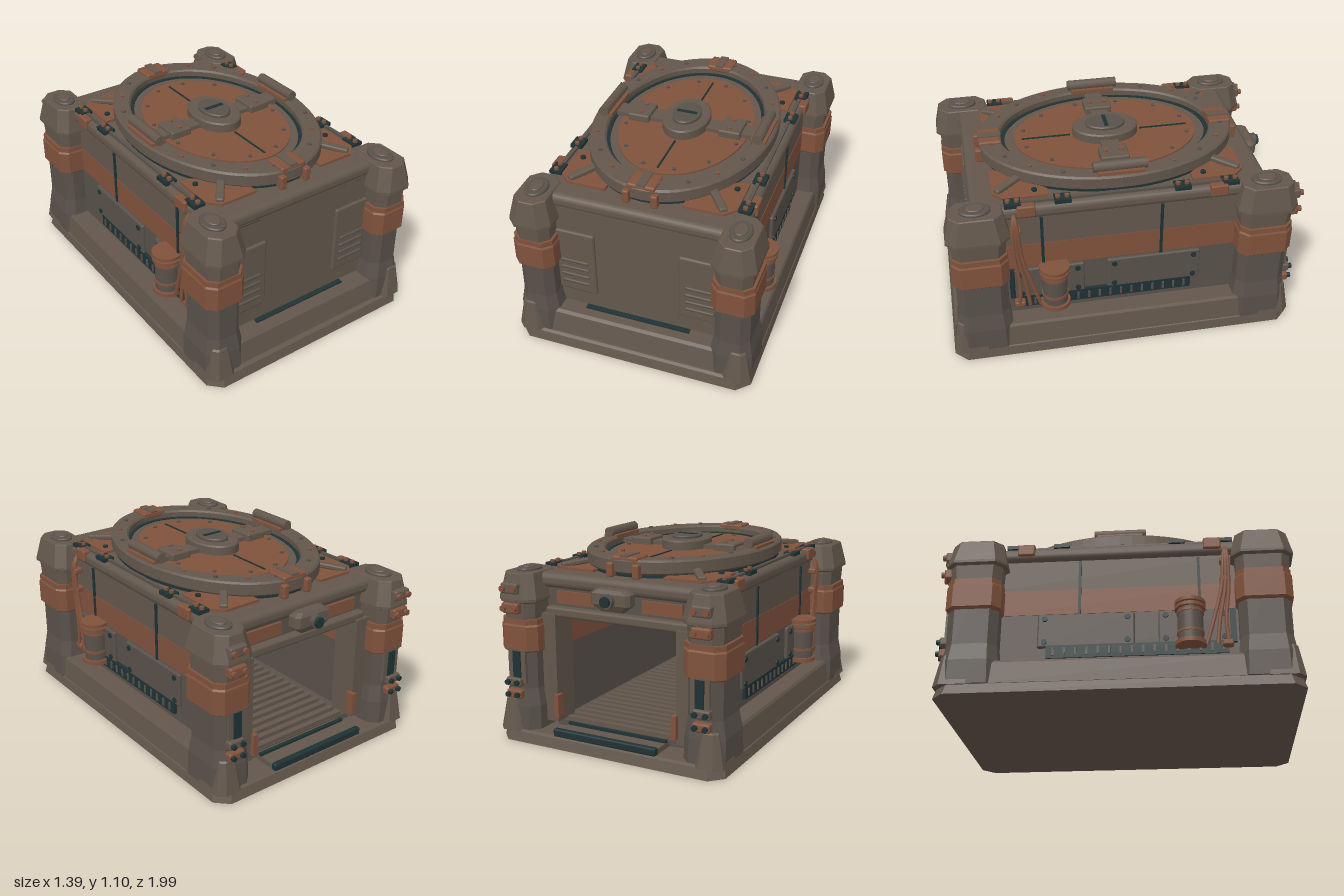
import * as THREE from 'three';
import { RoundedBoxGeometry } from 'three/addons/geometries/RoundedBoxGeometry.js';

const paint = (name, color) => {
  const m = new THREE.MeshStandardMaterial({ color });
  m.name = name;
  return m;
};

export function createModel() {
  const root = new THREE.Group();
  root.name = 'armouredContainer';
  const body = paint('brown steel', 0x63574c);
  const grey = paint('grey steel', 0x59514a);
  const rust = paint('rust orange', 0x80523c);
  const dark = paint('dark teal', 0x1f3234);

  const add = (name, geo, mat, x = 0, y = 0, z = 0, parent = root) => {
    const m = new THREE.Mesh(geo, mat);
    m.name = name;
    m.position.set(x, y, z);
    parent.add(m);
    return m;
  };
  const box = (name, mat, w, h, d, x, y, z, parent) =>
    add(name, new THREE.BoxGeometry(w, h, d), mat, x, y, z, parent);
  const soft = (name, mat, w, h, d, x, y, z, r = 0.015) =>
    add(name, new RoundedBoxGeometry(w, h, d, 2, r), mat, x, y, z);
  const cyl = (name, mat, r0, r1, h, x, y, z, sides = 16, parent) =>
    add(name, new THREE.CylinderGeometry(r0, r1, h, sides), mat, x, y, z, parent);
  // bolt whose axis points along x or z
  const bolt = (name, mat, r, h, x, y, z, axis) => {
    const m = cyl(name, mat, r, r, h, x, y, z, 10);
    if (axis === 'x') m.rotation.z = Math.PI / 2;
    if (axis === 'z') m.rotation.x = Math.PI / 2;
    return m;
  };
  // stack of chamfered rectangles, each [y, halfX, halfZ, chamfer]
  const loft = sections => {
    const rings = sections.map(([y, a, b, c]) => [
      [a, y, c - b], [a, y, b - c], [a - c, y, b], [c - a, y, b],
      [-a, y, b - c], [-a, y, c - b], [c - a, y, -b], [a - c, y, -b]]);
    const p = [], last = rings.length - 1;
    for (let i = 0; i < 8; i++) {
      const j = (i + 1) % 8;
      for (let k = 0; k < last; k++) {
        const a = rings[k][i], b = rings[k][j], c = rings[k + 1][j], d = rings[k + 1][i];
        p.push(...a, ...d, ...b, ...d, ...c, ...b);
      }
      p.push(0, sections[0][0], 0, ...rings[0][i], ...rings[0][j]);
      p.push(0, sections[last][0], 0, ...rings[last][j], ...rings[last][i]);
    }
    const g = new THREE.BufferGeometry();
    g.setAttribute('position', new THREE.Float32BufferAttribute(p, 3));
    g.computeVertexNormals();
    return g;
  };
  // flat plate from an (x, z) outline; its top lies at local y = 0
  const slab = (shape, h, bevel = 0) => {
    const g = new THREE.ExtrudeGeometry(shape, {
      depth: h, curveSegments: 32, bevelEnabled: bevel > 0, bevelSize: bevel, bevelThickness: bevel,
      bevelOffset: -bevel, bevelSegments: 1 });
    return g.rotateX(Math.PI / 2).translate(0, -bevel, 0);
  };
  const oval = (r, hole) => {
    const s = new THREE.Shape().absellipse(0, 0, r * 0.71, r, 0, Math.PI * 2);
    if (hole) s.holes.push(new THREE.Path().absellipse(0, 0, hole * 0.71, hole, 0, Math.PI * 2));
    return s;
  };

  // base, skirts and floor
  add('basePlate', loft([[0, 0.695, 0.99, 0.07], [0.055, 0.685, 0.975, 0.07], [0.065, 0.67, 0.96, 0.07]]), body);
  add('frontSkirt', loft([[0.06, 0.56, 0.085, 0.01], [0.185, 0.56, 0.06, 0.01], [0.2, 0.56, 0.045, 0.01]]), body, 0, 0, 0.865);
  box('frontSill', dark, 0.62, 0.008, 0.03, 0, 0.204, 0.842);
  box('floor', grey, 0.82, 0.04, 1.6, 0, 0.08, 0);
  for (let i = 0; i < 24; i++) box('floorRib', body, 0.7, 0.025, 0.03, 0, 0.11, -0.78 + i * 0.064);
  soft('thresholdBar', dark, 0.64, 0.045, 0.035, 0, 0.09, -0.965, 0.01);
  box('thresholdPlate', body, 0.62, 0.03, 0.15, 0, 0.08, -0.88);
  box('thresholdStrip', dark, 0.62, 0.02, 0.02, 0, 0.1, -0.84);

  // front wall with vented panels
  box('frontWall', body, 0.96, 0.72, 0.06, 0, 0.52, 0.79);
  for (const s of [-1, 1]) {
    soft('frontPanel', body, 0.23, 0.42, 0.03, s * 0.358, 0.51, 0.82, 0.012);
    for (let i = 0; i < 4; i++) soft('ventRib', grey, 0.17, 0.018, 0.02, s * 0.365, 0.37 + i * 0.05, 0.836, 0.008);
  }

  // roof with rounded edges
  soft('roof', body, 1.16, 0.085, 1.65, 0, 0.9, 0, 0.035);
  add('hatchSeat', slab(oval(0.72), 0.03), dark, 0, 0.965, 0);
  box('frontRoofLine', dark, 0.9, 0.008, 0.01, 0, 0.862, 0.815);

  // doorway at the back
  box('doorLintel', grey, 0.92, 0.12, 0.06, 0, 0.81, -0.76);
  soft('doorBeam', body, 0.9, 0.055, 0.09, 0, 0.73, -0.79);
  const housing = loft([[0.78, 0.07, 0.02, 0.01], [0.82, 0.12, 0.045, 0.02], [0.88, 0.12, 0.045, 0.02], [0.9, 0.09, 0.03, 0.02]]);
  add('lampHousing', housing, body, 0, 0, -0.85);
  bolt('lampBarrel', grey, 0.04, 0.05, 0, 0.845, -0.9, 'z');
  bolt('lampLens', dark, 0.03, 0.02, 0, 0.845, -0.93, 'z');

  for (const s of [-1, 1]) {
    // doorway sides
    box('doorJamb', body, 0.09, 0.62, 0.16, s * 0.42, 0.41, -0.77);
    box('jambBlock', rust, 0.03, 0.13, 0.05, s * 0.37, 0.2, -0.85);
    box('lintelPlate', rust, 0.24, 0.07, 0.02, s * 0.27, 0.81, -0.795);

    // side walls, coloured in bands
    const x = s * 0.48;
    box('lowerWall', grey, 0.14, 0.42, 1.56, x, 0.31, 0);
    box('wallBand', rust, 0.146, 0.155, 1.56, x, 0.595, 0);
    box('upperWall', body, 0.14, 0.2, 1.56, x, 0.77, 0);
    add('sideSkirt', loft([[0.06, 0.085, 0.72, 0.01], [0.185, 0.07, 0.72, 0.01], [0.2, 0.06, 0.72, 0.01]]), body, s * 0.595, 0, 0);
    for (const [z, y0] of [[0.45, 0.53], [-0.22, 0.5]])
      box('wallSeam', dark, 0.012, 0.85 - y0, 0.016, s * 0.554, (0.85 + y0) / 2, z);
    for (const [z, d] of [[-0.18, 0.54], [0.42, 0.4]]) {
      soft('sidePanel', grey, 0.03, 0.2, d, s * 0.555, 0.41, z, 0.01);
      for (const dz of [-1, 1]) for (const y of [0.34, 0.48])
        bolt('panelBolt', dark, 0.016, 0.012, s * 0.572, y, z + dz * (d / 2 - 0.04), 'x');
    }
    box('grille', dark, 0.03, 0.075, 1.0, s * 0.555, 0.28, 0.1);
    for (let i = 0; i < 16; i++) box('grilleTooth', grey, 0.02, 0.045, 0.012, s * 0.567, 0.28, -0.36 + i * 0.062);
    box('darkCornerSlot', dark, 0.02, 0.2, 0.03, s * 0.558, 0.41, 0.63);

    // canister with bands and a cap
    const canister = new THREE.Group();
    canister.name = 'canister';
    canister.position.set(s * 0.595, 0, 0.395);
    root.add(canister);
    cyl('canisterBody', grey, 0.07, 0.07, 0.22, 0, 0.4, 0, 20, canister);
    for (const [y, r, h] of [[0.285, 0.085, 0.025], [0.35, 0.075, 0.015], [0.47, 0.075, 0.015], [0.5, 0.085, 0.02], [0.53, 0.085, 0.02]])
      cyl('canisterBand', rust, r, r, h, 0, y, 0, 20, canister);

    // hoses running down beside the canister
    for (let i = 0; i < 3; i++) {
      const path = new THREE.CatmullRomCurve3([[0.57, 0.9, 0.6], [0.6, 0.84, 0.61 - i * 0.01], [0.6, 0.62, 0.61 - i * 0.02],
        [0.6, 0.42, 0.59 - i * 0.035], [0.6, 0.28, 0.6 - i * 0.06]].map(([a, b, c]) => new THREE.Vector3(s * a, b, c)));
      add('hose', new THREE.TubeGeometry(path, 20, 0.011, 8), rust);
    }
    for (const y of [0.8, 0.68, 0.29]) soft('hoseClamp', rust, 0.05, 0.035, 0.06, s * 0.585, y, 0.595, 0.01);

    // roof rail and clips
    box('roofRail', grey, 0.02, 0.02, 1.2, s * 0.535, 0.947, 0);
    for (const t of [-1, 1]) {
      soft('edgeClip', rust, 0.05, 0.07, 0.1, s * 0.57, 0.92, t * 0.53, 0.01);
      for (const z of [0.33, 0.6]) {
        box('railBracket', dark, 0.07, 0.022, 0.09, s * 0.54, 0.95, t * z);
        for (const d of [-0.025, 0.025]) cyl('bracketBolt', rust, 0.014, 0.014, 0.02, s * 0.54, 0.965, t * z + d, 8);
      }

      // corner plate with a diagonal bar
      const pts = [[0.22, 0.7], [0.44, 0.7], [0.5, 0.64], [0.5, 0.4], [0.44, 0.4], [0.22, 0.62]];
      add('cornerPlate', slab(new THREE.Shape(pts.map(([a, b]) => new THREE.Vector2(s * a, t * b))), 0.018), rust, 0, 0.957, 0);
      const bar = soft('diagonalBar', body, 0.045, 0.03, 0.2, s * 0.38, 0.972, t * 0.6, 0.01);
      bar.rotation.y = s * t * 0.65;
      bar.rotation.order = 'YXZ';
      bar.rotation.x = t * 0.1;
      cyl('plateBolt', dark, 0.016, 0.016, 0.012, s * 0.45, 0.962, t * 0.47, 10);

      // corner pillar
      const px = s * 0.57, pz = t * 0.8;
      add('pillarShaft', loft([[0.06, 0.12, 0.16, 0.05], [0.2, 0.118, 0.155, 0.05], [0.3, 0.1, 0.142, 0.045], [0.8, 0.1, 0.142, 0.045]]), grey, px, 0, pz);
      add('pillarBand', loft([[0.51, 0.11, 0.145, 0.045], [0.52, 0.12, 0.155, 0.045], [0.655, 0.12, 0.155, 0.045], [0.665, 0.115, 0.15, 0.045], [0.695, 0.115, 0.15, 0.045]]), rust, px, 0, pz);
      add('pillarCap', loft([[0.695, 0.1, 0.145, 0.045], [0.785, 0.105, 0.15, 0.045], [0.795, 0.123, 0.172, 0.055],
        [0.81, 0.123, 0.172, 0.055], [0.945, 0.093, 0.143, 0.05], [0.95, 0.088, 0.138, 0.05]]), body, px, 0, pz);
      add('pillarFoot', loft([[0.055, 0.085, 0.115, 0.04], [0.235, 0.052, 0.085, 0.025], [0.245, 0.045, 0.078, 0.025]]), body, s * 0.61, 0, t * 0.872);
      add('pillarCollar', slab(oval(0.085), 0.02, 0.006), grey, px, 0.965, pz);
      add('pillarStud', slab(oval(0.05), 0.02, 0.004), body, px, 0.973, pz);
    }

    // fittings on the back pillars
    for (const y of [0.87, 0.76]) {
      soft('backClamp', y > 0.8 ? body : rust, 0.11, 0.06, 0.06, s * 0.58, y, -0.955, 0.012);
      for (const d of [-0.035, 0.035]) bolt('clampBolt', rust, 0.017, 0.035, s * 0.58 + d, y, -0.985, 'z');
    }
    box('backSlotFrame', body, 0.11, 0.19, 0.02, s * 0.565, 0.43, -0.945);
    box('backSlot', dark, 0.05, 0.15, 0.012, s * 0.565, 0.44, -0.956);
    for (const y of [0.34, 0.27]) {
      soft('backBracket', y > 0.3 ? body : rust, 0.1, 0.05, 0.05, s * 0.58, y, -0.955, 0.012);
      for (const d of [-0.03, 0.03]) bolt('bracketStud', dark, 0.015, 0.025, s * 0.58 + d, y, -0.985, 'z');
    }
  }

  // oval hatch: rim, recessed ledge, inner plate and hub
  add('hatchRim', slab(oval(0.74, 0.61), 0.06, 0.01), body, 0, 1.04, 0);
  add('hatchGasket', slab(oval(0.612, 0.585), 0.03), dark, 0, 1.0, 0);
  add('hatchLedge', slab(oval(0.588), 0.03), body, 0, 0.995, 0);
  add('hatchPlate', slab(oval(0.53), 0.02), rust, 0, 1.004, 0);
  for (let i = 0; i < 20; i++) {
    const a = (i + 0.5) / 20 * Math.PI * 2;
    cyl('rimBolt', i % 2 ? grey : rust, 0.013, 0.013, 0.014, Math.cos(a) * 0.48, 1.043, Math.sin(a) * 0.675, 8);
  }
  for (let i = 0; i < 12; i++) {
    const a = (i + 0.5) / 12 * Math.PI * 2;
    cyl('plateStud', grey, 0.012, 0.012, 0.012, Math.cos(a) * 0.345, 1.007, Math.sin(a) * 0.485, 8);
  }
  box('hatchCrossbar', body, 0.84, 0.03, 0.1, 0, 1.012, 0);
  add('hubBase', slab(oval(0.19), 0.06, 0.008), body, 0, 1.06, 0);
  add('hubCap', slab(oval(0.115), 0.03, 0.006), grey, 0, 1.078, 0);
  box('hubSlot', dark, 0.12, 0.006, 0.022, 0, 1.079, 0);
  for (const s of [-1, 1]) {
    box('plateSeam', dark, 0.01, 0.006, 0.28, 0, 1.006, s * 0.345);
    soft('crossbarPlate', body, 0.13, 0.05, 0.16, s * 0.275, 1.022, 0, 0.01);
    for (const z of [-0.045, 0.045]) cyl('crossbarBolt', rust, 0.014, 0.014, 0.014, s * 0.27, 1.05, z, 8);

    // side handles on the rim
    box('handlePad', rust, 0.09, 0.02, 0.26, s * 0.46, 1.045, 0);
    const grip = cyl('handle', body, 0.03, 0.03, 0.3, s * 0.46, 1.073, 0, 10);
    grip.rotation.x = Math.PI / 2;

    // end clamps holding the rim to the roof
    soft('rimClamp', rust, 0.16, 0.04, 0.13, 0, 1.035, s * 0.67, 0.012);
    box('clampBridge', body, 0.05, 0.012, 0.13, 0, 1.055, s * 0.67);
    for (const x of [-0.08, 0.08]) soft('clampLeg', rust, 0.04, 0.08, 0.05, x, 0.98, s * 0.735, 0.01);
  }
  return root;
}
